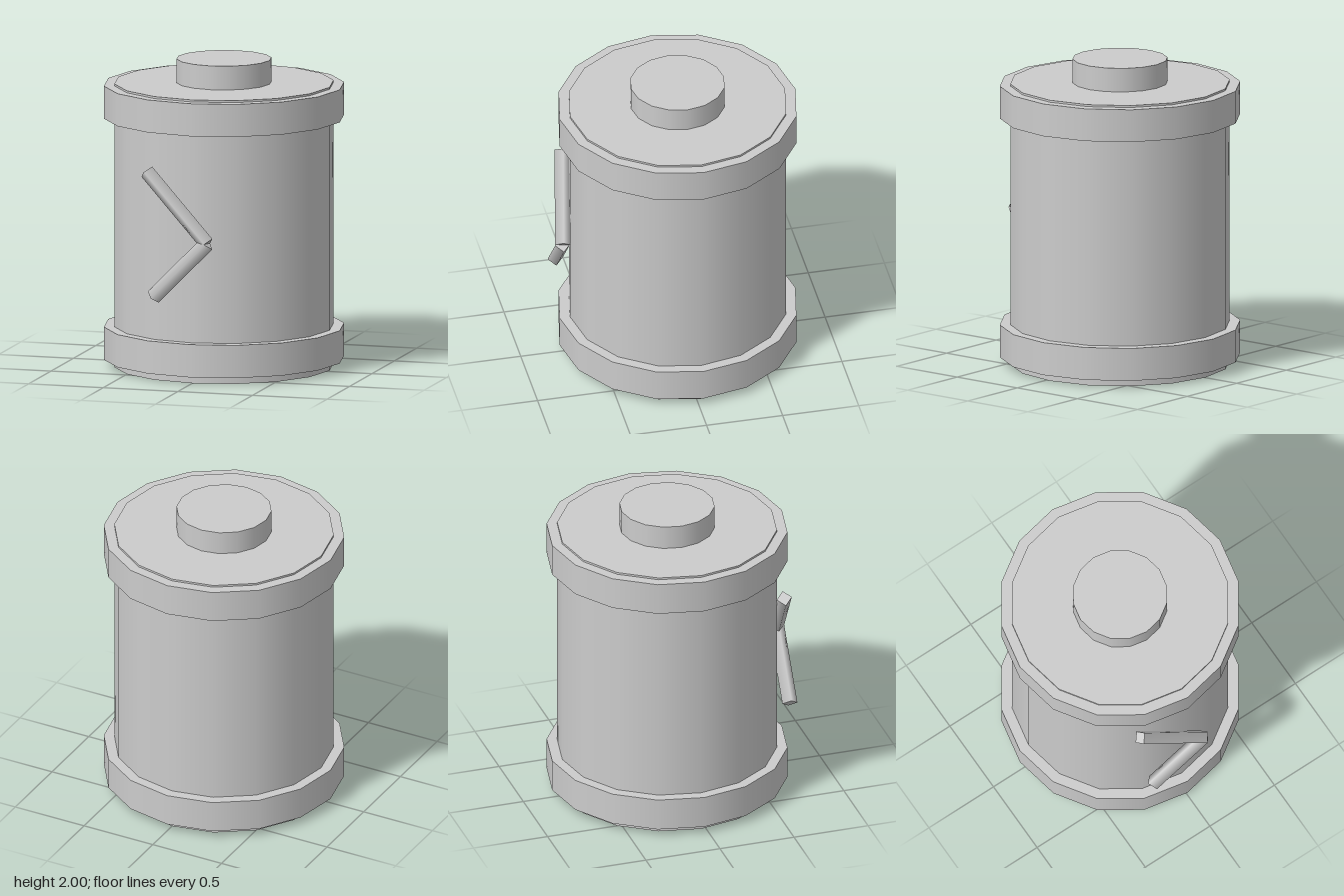
import * as THREE from 'three';

const grey = new THREE.MeshStandardMaterial({ color: 0xcccccc });
grey.name = 'grey';

const AXIS_Z = -0.03; // canister axis, set back to balance the pointer in front

// Upright sixteen-sided drum between two heights
function drum(name, radius, bottom, top) {
  const mesh = new THREE.Mesh(new THREE.CylinderGeometry(radius, radius, top - bottom, 16), grey);
  mesh.position.set(0, (bottom + top) / 2, AXIS_Z);
  mesh.name = name;
  return mesh;
}

// Four-sided rod between two points, with one ridge facing forwards
function rod(name, from, to, radius) {
  const a = new THREE.Vector3(...from);
  const b = new THREE.Vector3(...to);
  const mesh = new THREE.Mesh(new THREE.CylinderGeometry(radius, radius, a.distanceTo(b), 4), grey);
  const y = b.clone().sub(a).normalize();
  const x = y.clone().cross(new THREE.Vector3(0, 0, 1)).normalize();
  const z = x.clone().cross(y);
  mesh.quaternion.setFromRotationMatrix(new THREE.Matrix4().makeBasis(x, y, z));
  mesh.position.copy(a).add(b).multiplyScalar(0.5);
  mesh.name = name;
  return mesh;
}

export function createModel() {
  const model = new THREE.Group();
  model.name = 'canister';

  // Body, two bands and the cap
  model.add(
    drum('body', 0.707, 0, 1.845),
    drum('lowerBand', 0.775, 0.05, 0.263),
    drum('upperBand', 0.775, 1.62, 1.832),
    drum('cap', 0.306, 1.845, 2)
  );

  // Bent pointer on the front
  const pointer = new THREE.Group();
  pointer.name = 'pointer';
  pointer.add(
    rod('upperArm', [-0.31, 1.36, 0.66], [0.12, 0.925, 0.75], 0.05),
    rod('lowerArm', [-0.25, 0.557, 0.718], [0.12, 0.927, 0.75], 0.05)
  );
  model.add(pointer);
  return model;
}
